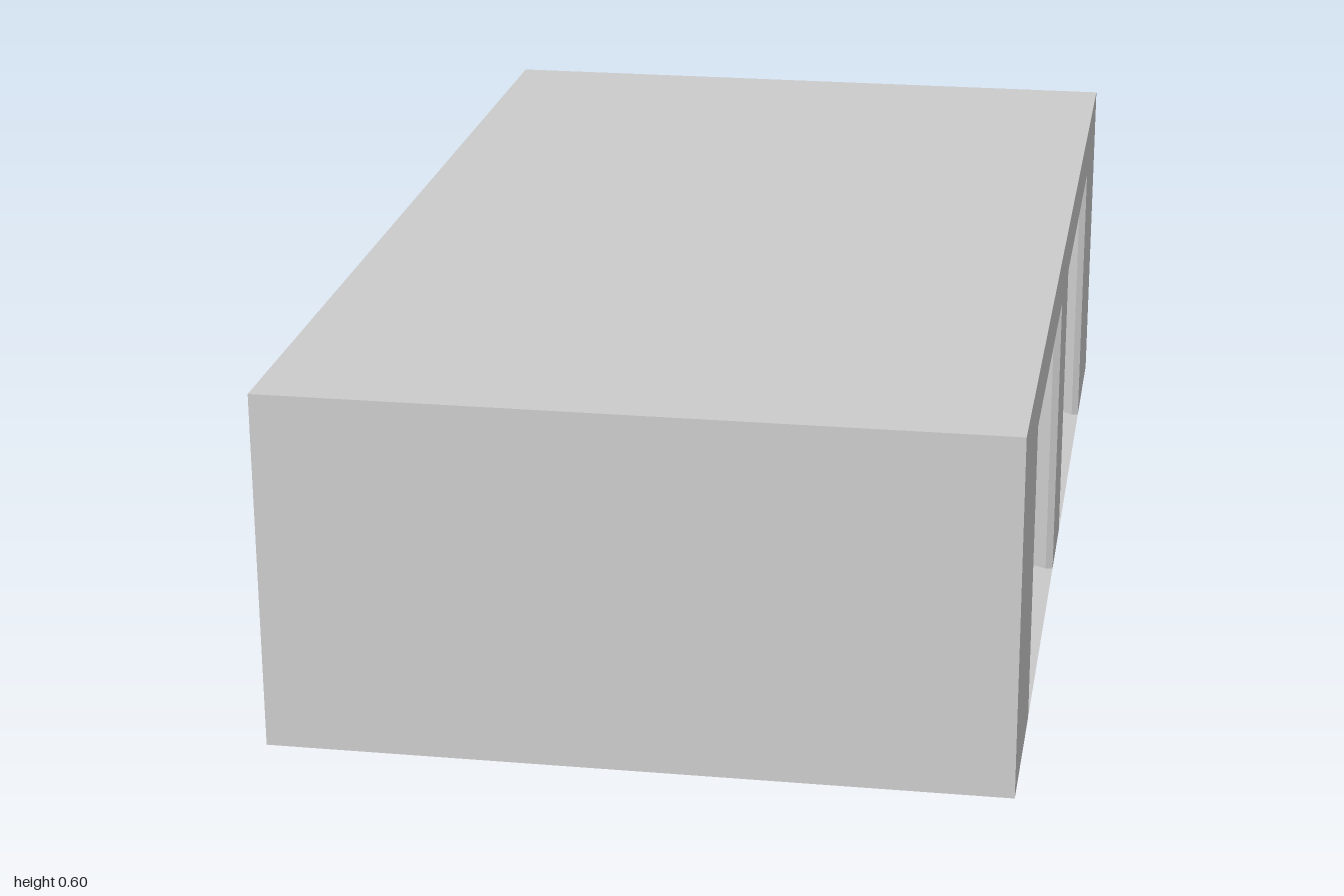
import * as THREE from 'three';

const WALL_BACK = 0.51, WALL_FRONT = 0.6;   // x range of the wall holding the openings
const DOOR_FACE = 0.52;                     // x of the recessed panels
const CHAMFER_DEPTH = 0.012, FLARE = 0.01;

export function createModel() {
  const group = new THREE.Group();
  const material = new THREE.MeshStandardMaterial({ color: 0xcccccc, flatShading: true });
  const add = (name, geometry, x = 0, y = 0, z = 0) => {
    const mesh = new THREE.Mesh(geometry, material);
    mesh.name = name;
    mesh.position.set(x, y, z);
    group.add(mesh);
    return mesh;
  };

  // Solid main block
  const bodyWidth = WALL_BACK + 0.6;
  add('body', new THREE.BoxGeometry(bodyWidth, 0.6, 2), -0.6 + bodyWidth / 2, 0.3, 0);

  // Side wall with two openings notched up from the ground
  const outline = new THREE.Shape([
    [-1, 0], [-0.7, 0], [-0.7, 0.5], [-0.1, 0.5], [-0.1, 0],
    [0.1, 0], [0.1, 0.5], [0.7, 0.5], [0.7, 0], [1, 0], [1, 0.6], [-1, 0.6],
  ].map(([a, b]) => new THREE.Vector2(a, b)));
  const depth = WALL_FRONT - WALL_BACK;
  const wall = new THREE.ExtrudeGeometry(outline, { depth, steps: 2, bevelEnabled: false });

  // Flare the outermost layer of the openings into a chamfer
  const p = wall.attributes.position;
  for (let i = 0; i < p.count; i++) {
    const x = p.getX(i), y = p.getY(i), z = p.getZ(i);
    if (Math.abs(z - depth / 2) < 0.001) p.setZ(i, depth - CHAMFER_DEPTH);
    if (z > depth - 0.001 && Math.abs(x) < 0.9) {
      const outward = Math.abs(x) > 0.4 ? FLARE : -FLARE;
      p.setX(i, x + Math.sign(x) * outward);
      if (y > 0.4) p.setY(i, y + 0.008);
    }
  }
  wall.computeVertexNormals();
  wall.rotateY(Math.PI / 2);
  add('openingWall', wall, WALL_BACK, 0, 0);

  // Recessed door panel and sloping threshold in each opening
  const wedge = new THREE.Shape([
    new THREE.Vector2(DOOR_FACE, 0),
    new THREE.Vector2(WALL_FRONT, 0),
    new THREE.Vector2(DOOR_FACE, 0.02),
  ]);
  for (const z of [0.4, -0.4]) {
    const thickness = DOOR_FACE - WALL_BACK;
    add('doorPanel', new THREE.BoxGeometry(thickness, 0.5, 0.6), WALL_BACK + thickness / 2, 0.25, z);
    const ramp = new THREE.ExtrudeGeometry(wedge, { depth: 0.62, bevelEnabled: false });
    add('threshold', ramp, 0, 0, z - 0.31);
  }
  return group;
}
